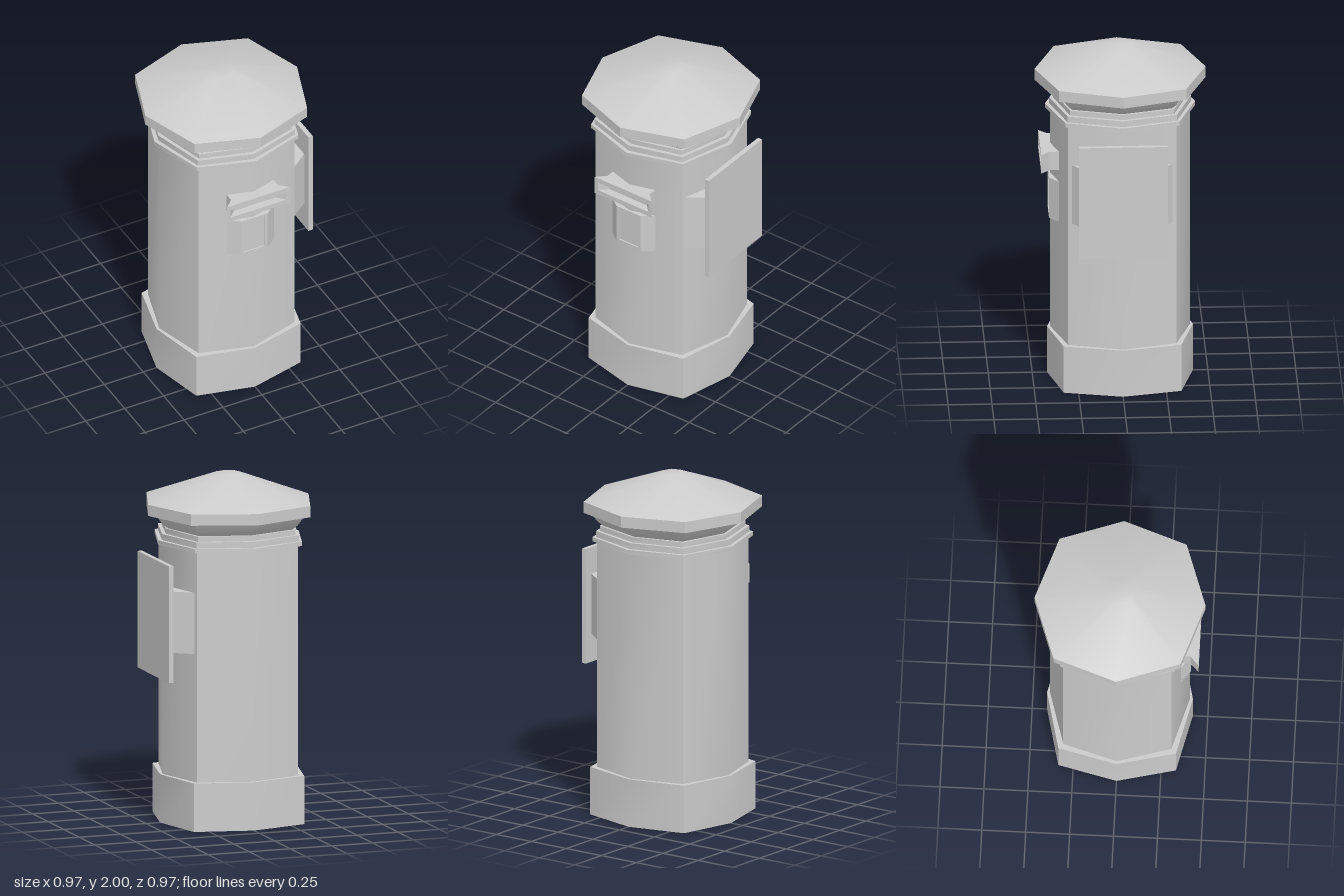
import * as THREE from 'three';
import { toCreasedNormals } from 'three/addons/utils/BufferGeometryUtils.js';

const material = new THREE.MeshStandardMaterial({ color: 0xcccccc });

// Joins loops of points (counter-clockwise seen from the far end) and caps both ends.
function loft(loops, crease = 0.61) {
  const n = loops[0].length;
  const positions = loops.flat(2);
  const index = [];
  for (let j = 0; j < loops.length - 1; j++) {
    for (let i = 0; i < n; i++) {
      const a = j * n + i, b = j * n + (i + 1) % n;
      index.push(a, b, b + n, a, b + n, a + n);
    }
  }
  const last = (loops.length - 1) * n;
  for (let i = 1; i < n - 1; i++) {
    index.push(0, i + 1, i);
    index.push(last, last + i, last + i + 1);
  }
  const geometry = new THREE.BufferGeometry();
  geometry.setAttribute('position', new THREE.Float32BufferAttribute(positions, 3));
  geometry.setIndex(index);
  return toCreasedNormals(geometry, crease);
}

// Eight-sided loop: corners at distance a on the axes and at (d, d) on the diagonals.
const octagon = ([y, a, d]) => [
  [0, y, a], [d, y, d], [a, y, 0], [d, y, -d],
  [0, y, -a], [-d, y, -d], [-a, y, 0], [-d, y, d],
];

// Upright rectangular loop at depth z.
const rectangle = (cy) => ([w, h, z]) => [
  [-w, cy - h, z], [w, cy - h, z], [w, cy + h, z], [-w, cy + h, z],
];

export function createModel() {
  const model = new THREE.Group();
  const add = (name, geometry) => {
    const mesh = new THREE.Mesh(geometry, material);
    mesh.name = name;
    model.add(mesh);
    return mesh;
  };

  // Column, from the plinth up to the cap: [height, axis radius, diagonal offset]
  const column = {
    plinth: [[0, 0.415, 0.335], [0.28, 0.415, 0.335]],
    body: [[0.28, 0.398, 0.308], [1.61, 0.398, 0.308]],
    lowerCollar: [[1.61, 0.427, 0.325], [1.635, 0.427, 0.325]],
    middleCollar: [[1.635, 0.403, 0.311], [1.67, 0.403, 0.311]],
    upperCollar: [[1.67, 0.38, 0.296], [1.7, 0.38, 0.296]],
    cornice: [[1.7, 0.365, 0.283], [1.725, 0.4, 0.305], [1.78, 0.437, 0.335]],
    cap: [[1.78, 0.487, 0.362], [1.845, 0.487, 0.362], [2, 0.072, 0.054]],
  };
  for (const [name, sections] of Object.entries(column)) {
    add(name, loft(sections.map(octagon)));
  }

  // Flared letter slot: neck, lip, then the recess narrowing inward
  add('letterSlot', loft([
    [0.15, 0.056, 0.33], [0.15, 0.056, 0.408], [0.202, 0.056, 0.457],
    [0.18, 0.027, 0.457], [0.133, 0.027, 0.41],
  ].map(rectangle(1.34)), 0.1));

  // Notice frame with sloping cheeks and a shallow window
  add('noticeFrame', loft([
    [0.152, 0.122, 0.33], [0.152, 0.122, 0.355], [0.085, 0.122, 0.408],
    [0.068, 0.105, 0.408], [0.068, 0.105, 0.4],
  ].map(rectangle(1.093)), 0.1));

  // Sign board on the left side, held by a tapered mount
  add('signMount', loft([1.02, 1.375].map((y) => [
    [0.3, y, 0.297], [0.43, y, 0.2], [0.43, y, -0.2], [0.3, y, -0.297],
  ]), 0.1));
  add('signBoard', new THREE.BoxGeometry(0.028, 0.675, 0.505)).position.set(0.442, 1.193, 0);

  return model;
}
